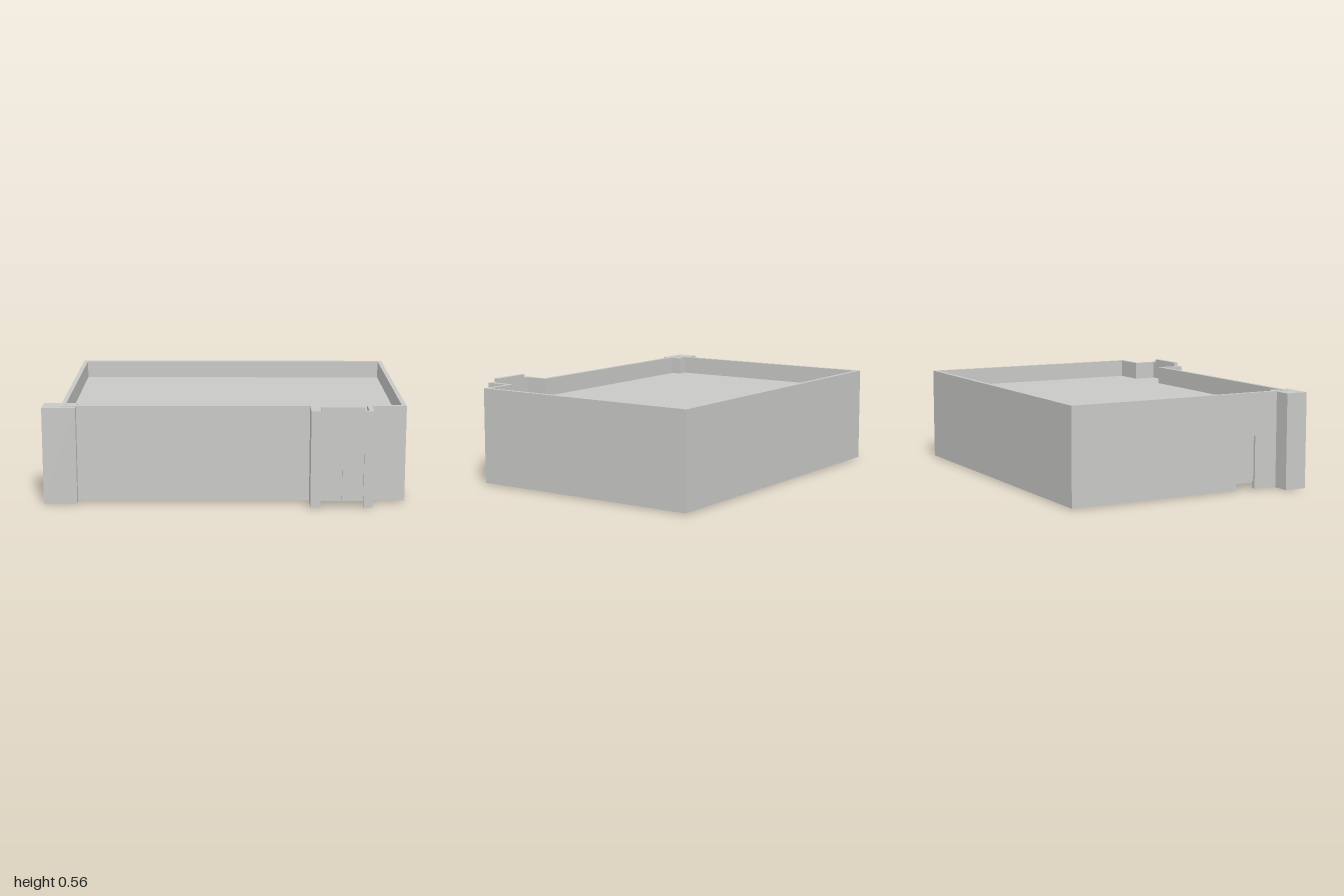
import * as THREE from 'three';

const BASE = 0.005, TOP = 0.543, DOOR_TOP = 0.305;
const FLOOR = 0.045, ROOF = 0.44;

// Wall corners in plan (x, z), from the porch door round by the back to the porch door again
const OUTER = [[0.81, 0.75], [0.81, 0.615], [1, 0.615], [1, -0.75], [-0.9, -0.75], [-0.9, 0.615], [0.47, 0.615], [0.47, 0.75]];
const INNER = [[0.785, 0.725], [0.785, 0.59], [0.975, 0.59], [0.975, -0.725], [-0.875, -0.725], [-0.875, 0.59], [0.495, 0.59], [0.495, 0.725]];

const concrete = new THREE.MeshStandardMaterial({ color: 0xc8c8c6 });
concrete.name = 'concrete grey';

// Turns plan points (x, z) into a shape that extrudes upwards
const plan = (points) => new THREE.Shape(points.map(([x, z]) => new THREE.Vector2(x, -z)));

function slab(name, shape, y0, y1) {
  const geometry = new THREE.ExtrudeGeometry(shape, { depth: y1 - y0, bevelEnabled: false });
  geometry.rotateX(-Math.PI / 2);
  geometry.translate(0, y0, 0);
  const mesh = new THREE.Mesh(geometry, concrete);
  mesh.name = name;
  return mesh;
}

function box(name, x0, x1, y0, y1, z0, z1) {
  const mesh = new THREE.Mesh(new THREE.BoxGeometry(x1 - x0, y1 - y0, z1 - z0), concrete);
  mesh.position.set((x0 + x1) / 2, (y0 + y1) / 2, (z0 + z1) / 2);
  mesh.name = name;
  return mesh;
}

export function createModel() {
  const model = new THREE.Group();
  model.name = 'building';

  // Lower walls, broken by the porch door and the side door
  const eastWall = plan([
    [0.76, 0.75], ...OUTER.slice(0, 5), [-0.9, 0.265],
    [-0.875, 0.265], ...INNER.slice(0, 5).reverse(), [0.76, 0.725],
  ]);
  const westWall = plan([
    [-0.9, 0.39], ...OUTER.slice(5), [0.525, 0.75],
    [0.525, 0.725], ...INNER.slice(5).reverse(), [-0.875, 0.39],
  ]);
  model.add(slab('lowerWallsBack', eastWall, BASE, DOOR_TOP));
  model.add(slab('lowerWallsFront', westWall, BASE, DOOR_TOP));

  // Continuous upper walls and parapet
  const ring = plan(OUTER);
  ring.holes.push(plan(INNER));
  model.add(slab('upperWalls', ring, DOOR_TOP, TOP));

  // Floor and sunken flat roof
  model.add(slab('floor', plan(INNER), FLOOR - 0.01, FLOOR));
  model.add(slab('roof', plan(INNER), ROOF - 0.02, ROOF));

  // Raised parapet above the porch door
  model.add(box('porchCrest', 0.525, 0.76, TOP, 0.563, 0.725, 0.75));

  // Corner pillar
  model.add(box('cornerPillar', -1, -0.815, 0, 0.54, 0.53, 0.66));

  // Double porch door and single side door
  for (const [name, x] of [['porchDoorRight', 0.525], ['porchDoorLeft', 0.643]]) {
    model.add(box(name, x, x + 0.117, FLOOR, DOOR_TOP, 0.726, 0.735));
  }
  model.add(box('sideDoor', -0.885, -0.876, FLOOR, DOOR_TOP, 0.265, 0.39));

  return model;
}
